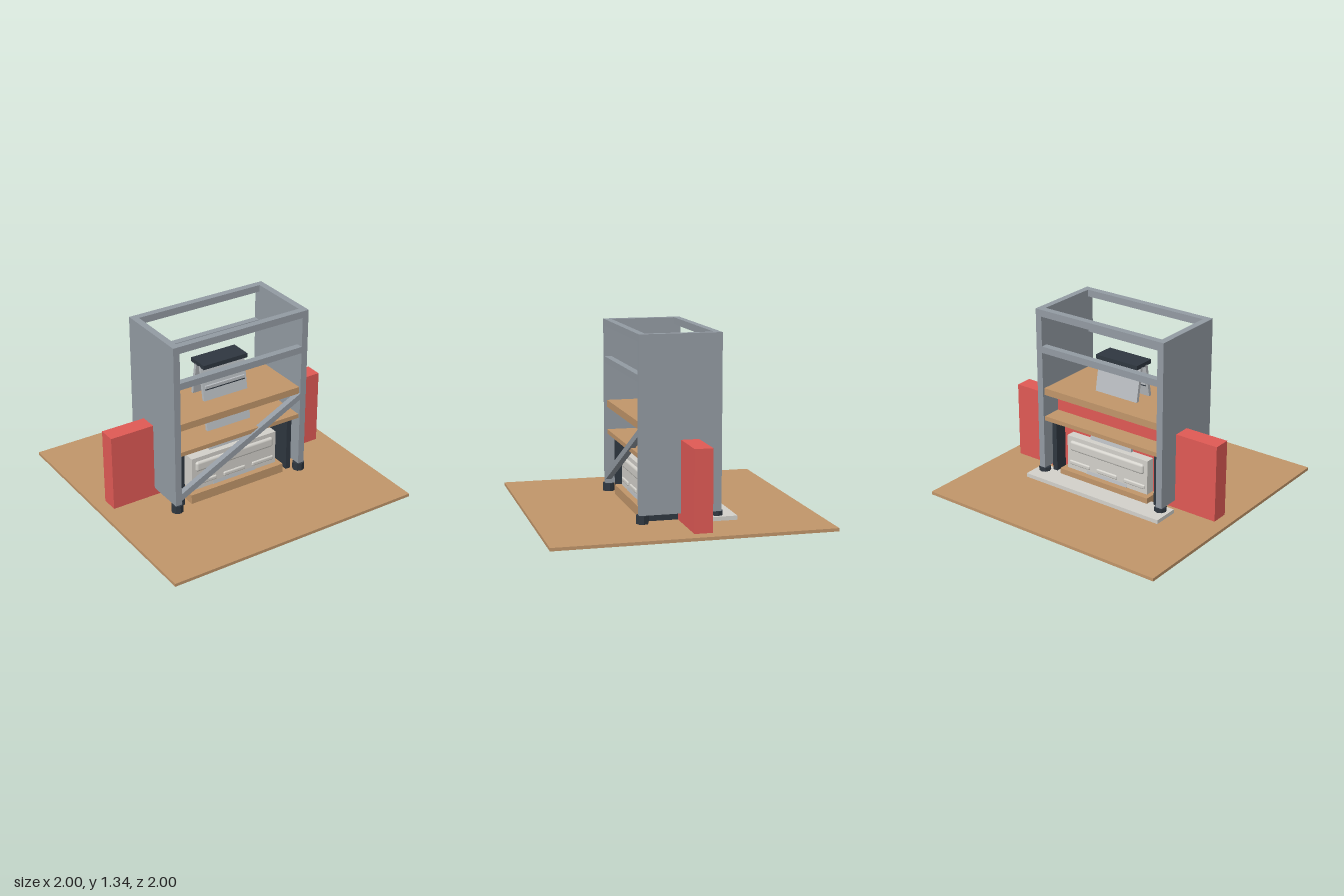
import * as THREE from 'three';
import { RoundedBoxGeometry } from 'three/addons/geometries/RoundedBoxGeometry.js';

const mat = (color) => new THREE.MeshStandardMaterial({ color });

export function createModel() {
  const root = new THREE.Group();
  const wood = mat(0xc1966a), steel = mat(0x939ba3), red = mat(0xe05a55);
  const dark = mat(0x2f3740), pale = mat(0xd3d1cb), alu = mat(0xb9bdc1);

  const add = (name, geometry, material, x, y, z) => {
    const mesh = new THREE.Mesh(geometry, material);
    mesh.name = name;
    mesh.position.set(x, y, z);
    root.add(mesh);
    return mesh;
  };
  // Box given by its lower and upper limits on each axis
  const box = (name, m, [x0, x1], [y0, y1], [z0, z1]) =>
    add(name, new THREE.BoxGeometry(x1 - x0, y1 - y0, z1 - z0), m,
      (x0 + x1) / 2, (y0 + y1) / 2, (z0 + z1) / 2);

  // Floor, inset under-plate and rear strip
  box('floor', wood, [-1, 1], [0.002, 0.025], [-1, 1]);
  box('underPlate', pale, [-0.6, 0.6], [0.001, 0.015], [-0.4, 0.4]);
  box('rearStrip', pale, [-0.6, 0.6], [0.015, 0.055], [-0.4, -0.2]);

  // Long red panel passing through the rack
  box('redPanel', red, [-0.9, 0.9], [0.02, 0.605], [-0.13, 0]);

  for (const s of [-1, 1]) {
    // Rack side walls, inner supports and feet
    box('sideWall', steel, s < 0 ? [-0.56, -0.51] : [0.51, 0.56], [0.085, 1.34], [-0.295, 0.295]);
    box('innerSupport', dark, s < 0 ? [-0.485, -0.445] : [0.445, 0.485], [0.02, 0.47], [-0.23, 0.23]);
    for (const t of [-1, 1]) {
      const foot = new THREE.CylinderGeometry(0.045, 0.045, 0.085, 8).toNonIndexed();
      foot.computeVertexNormals();
      add('foot', foot, dark, s * 0.532, 0.0425, t * 0.268);
    }
    // Front and back rails
    const z = s < 0 ? [-0.295, -0.243] : [0.243, 0.295];
    box('topRail', steel, [-0.51, 0.51], [1.288, 1.34], z);
    box('middleRail', steel, [-0.51, 0.51], [1.01, 1.06], z);
  }

  // Diagonal brace across the front, with vertical ends
  const brace = new THREE.Shape([[-0.51, 0.115], [0.51, 0.63], [0.51, 0.68], [-0.51, 0.17]]
    .map(([x, y]) => new THREE.Vector2(x, y)));
  add('diagonalBrace', new THREE.ExtrudeGeometry(brace, { depth: 0.045, bevelEnabled: false }),
    steel, 0, 0, 0.25);

  // Shelves
  box('upperShelf', wood, [-0.51, 0.51], [0.675, 0.728], [-0.28, 0.28]);
  box('lowerShelf', wood, [-0.51, 0.51], [0.47, 0.503], [-0.28, 0.28]);

  // Pale cabinet on its plinth, with raised pads front and back
  box('plinth', wood, [-0.4, 0.4], [0.02, 0.097], [-0.25, 0.25]);
  box('cabinet', pale, [-0.365, 0.365], [0.097, 0.362], [-0.2, 0.2]);
  for (const s of [-1, 1]) {
    add('upperPad', new RoundedBoxGeometry(0.67, 0.08, 0.04, 4, 0.019), pale, 0, 0.29, s * 0.198);
    for (const x of [-0.25, 0, 0.25])
      add('lowerPad', new RoundedBoxGeometry(0.19, 0.035, 0.024, 3, 0.011), pale, x, 0.15, s * 0.198);
  }

  // Folding ladder: two panels spreading downward from a dark cap
  const topZ = 0.04, topY = 0.985, slope = 0.185;
  for (const s of [-1, 1]) {
    const panel = new THREE.BoxGeometry(0.37, topY - 0.01, 0.025);
    const p = panel.attributes.position;
    for (let i = 0; i < p.count; i++) {
      const y = p.getY(i) + (topY + 0.01) / 2;
      p.setZ(i, p.getZ(i) + s * (topZ + (topY - y) * slope - 0.012));
    }
    panel.computeVertexNormals();
    add('ladderPanel', panel, alu, 0, (topY + 0.01) / 2, 0);
  }
  for (const y of [0.825, 0.625, 0.425]) {
    const z = topZ + (topY - y) * slope;
    box('tread', alu, [-0.168, 0.165], [y - 0.008, y + 0.015], [z - 0.03, z + 0.012]);
    box('treadEdge', dark, [-0.168, 0.165], [y - 0.016, y - 0.008], [z - 0.03, z + 0.013]);
  }
  box('ladderCap', dark, [-0.185, 0.185], [0.978, 1.01], [-0.083, 0.083]);
  box('ladderPad', dark, [-0.185, 0.185], [0, 0.02], [-0.07, 0.07]);

  return root;
}
